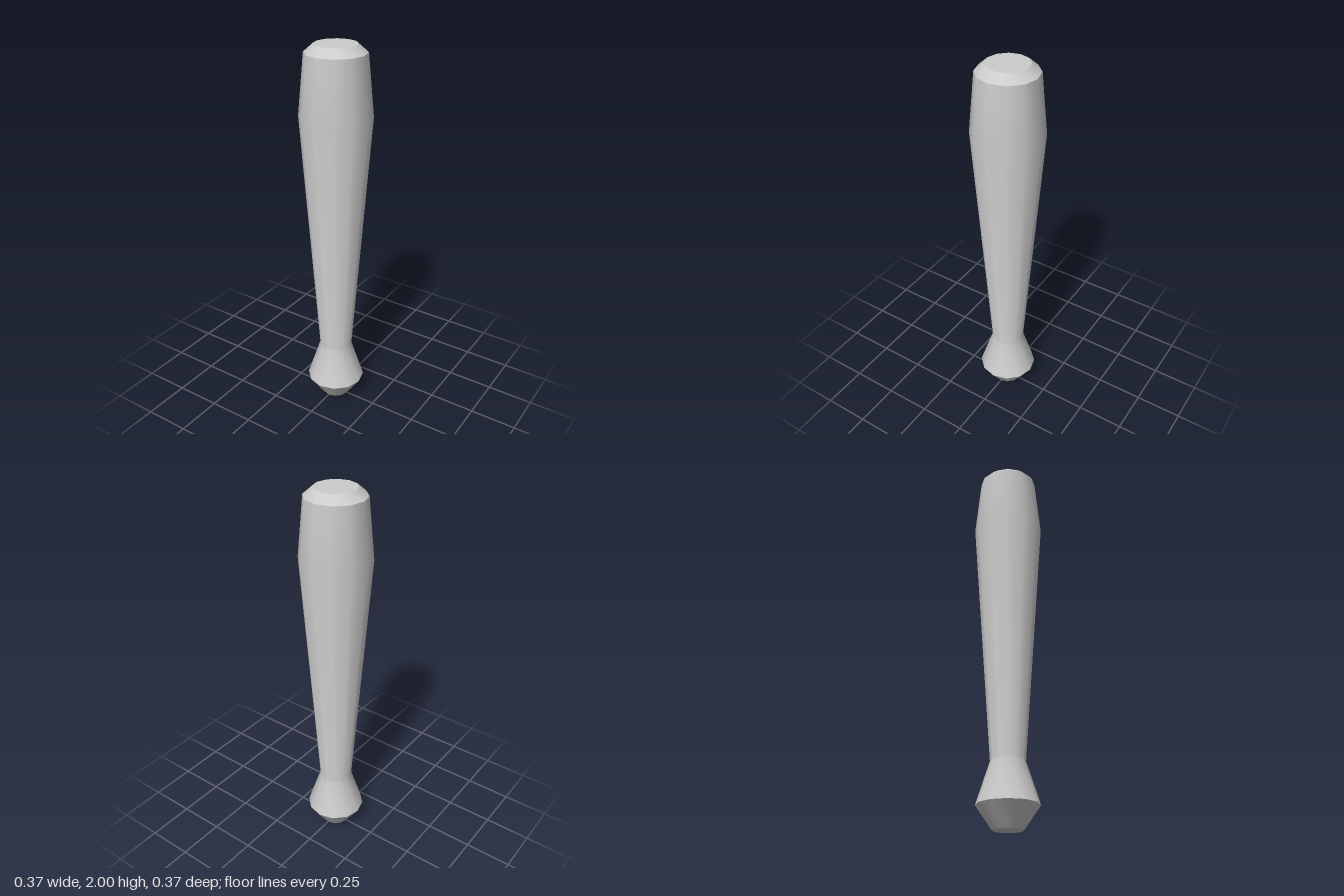
import * as THREE from 'three';
import { toCreasedNormals } from 'three/addons/utils/BufferGeometryUtils.js';

export function createModel() {
  const group = new THREE.Group();
  group.name = 'club';

  // Outline from the base centre to the top centre: [radius, height]
  const profile = [
    [0, 0],
    [0.075, 0],      // underside of the knob
    [0.157, 0.117],  // widest part of the knob
    [0.088, 0.33],   // narrow grip
    [0.184, 1.65],   // widest part of the barrel
    [0.154, 1.96],   // rim of the bevelled end
    [0.108, 2],      // flat top
    [0, 2],
  ].map(([r, y]) => new THREE.Vector2(r, y));

  // Twelve sides, smooth around, sharp at the knob edge and end bevels
  const geometry = toCreasedNormals(
    new THREE.LatheGeometry(profile, 12),
    THREE.MathUtils.degToRad(35)
  );
  const body = new THREE.Mesh(geometry, new THREE.MeshStandardMaterial({ color: 0xcccccc }));
  body.name = 'clubBody';
  group.add(body);
  return group;
}
